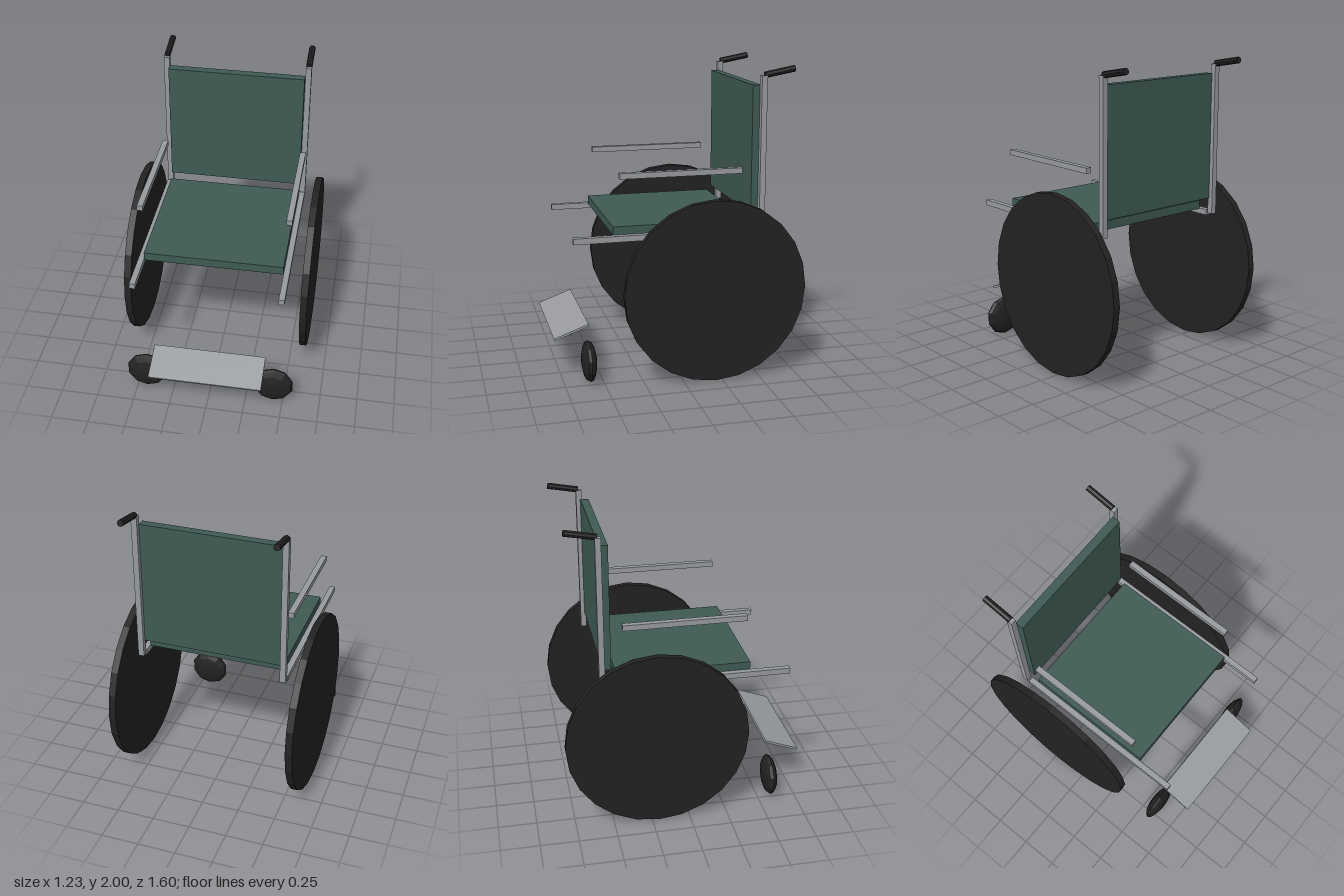
import * as THREE from 'three';

const mat = (name, color) => {
  const m = new THREE.MeshStandardMaterial({ color });
  m.name = name;
  m.flatShading = true;
  return m;
};

export function createModel() {
  const model = new THREE.Group();
  model.name = 'wheelchair';
  const fabric = mat('green fabric', 0x3f5a54);
  const metal = mat('grey metal', 0x989b9f);
  const rubber = mat('black rubber', 0x222222);

  const add = (name, geometry, material, x, y, z) => {
    const mesh = new THREE.Mesh(geometry, material);
    mesh.name = name;
    mesh.position.set(x, y, z);
    model.add(mesh);
    return mesh;
  };
  // Box given by its centre x, width and y / z ranges
  const box = (name, material, x, w, y0, y1, z0, z1) =>
    add(name, new THREE.BoxGeometry(w, y1 - y0, z1 - z0), material, x, (y0 + y1) / 2, (z0 + z1) / 2);

  // Upholstery
  box('seat', fabric, 0, 0.91, 0.965, 1.022, -0.445, 0.425);
  box('backrest', fabric, 0, 0.91, 1.055, 1.88, -0.53, -0.475);

  // Tilted footrest, lower at the front
  const footrest = add('footrest', new THREE.BoxGeometry(0.75, 0.015, 0.24), metal, 0, 0.32, 0.686);
  footrest.rotation.x = THREE.MathUtils.degToRad(20);

  for (const [side, s] of [['left', 1], ['right', -1]]) {
    // Frame tubes
    box(side + 'SeatRail', metal, s * 0.475, 0.038, 0.932, 0.97, -0.505, 0.682);
    box(side + 'Armrest', metal, s * 0.475, 0.038, 1.33, 1.366, -0.403, 0.387);
    box(side + 'BackPost', metal, s * 0.475, 0.038, 0.95, 1.94, -0.557, -0.52);

    // Push grip rising towards the back
    const grip = add(side + 'Grip', new THREE.CylinderGeometry(0.021, 0.021, 0.2, 8), rubber, s * 0.475, 1.962, -0.642);
    grip.rotation.x = THREE.MathUtils.degToRad(-79.5);

    // Large rear wheel
    const wheel = add(side + 'Wheel', new THREE.CylinderGeometry(0.594, 0.594, 0.046, 24), rubber, s * 0.593, 0.597, -0.206);
    wheel.rotation.z = Math.PI / 2;

    // Small flattened caster, its poles along z
    const ball = new THREE.SphereGeometry(0.137, 10, 8).rotateX(Math.PI / 2);
    ball.rotateZ(Math.PI / 10 * 5).scale(1, 1, 0.345);
    add(side + 'Caster', ball, rubber, s * 0.434, 0.14, 0.587);
  }
  return model;
}
